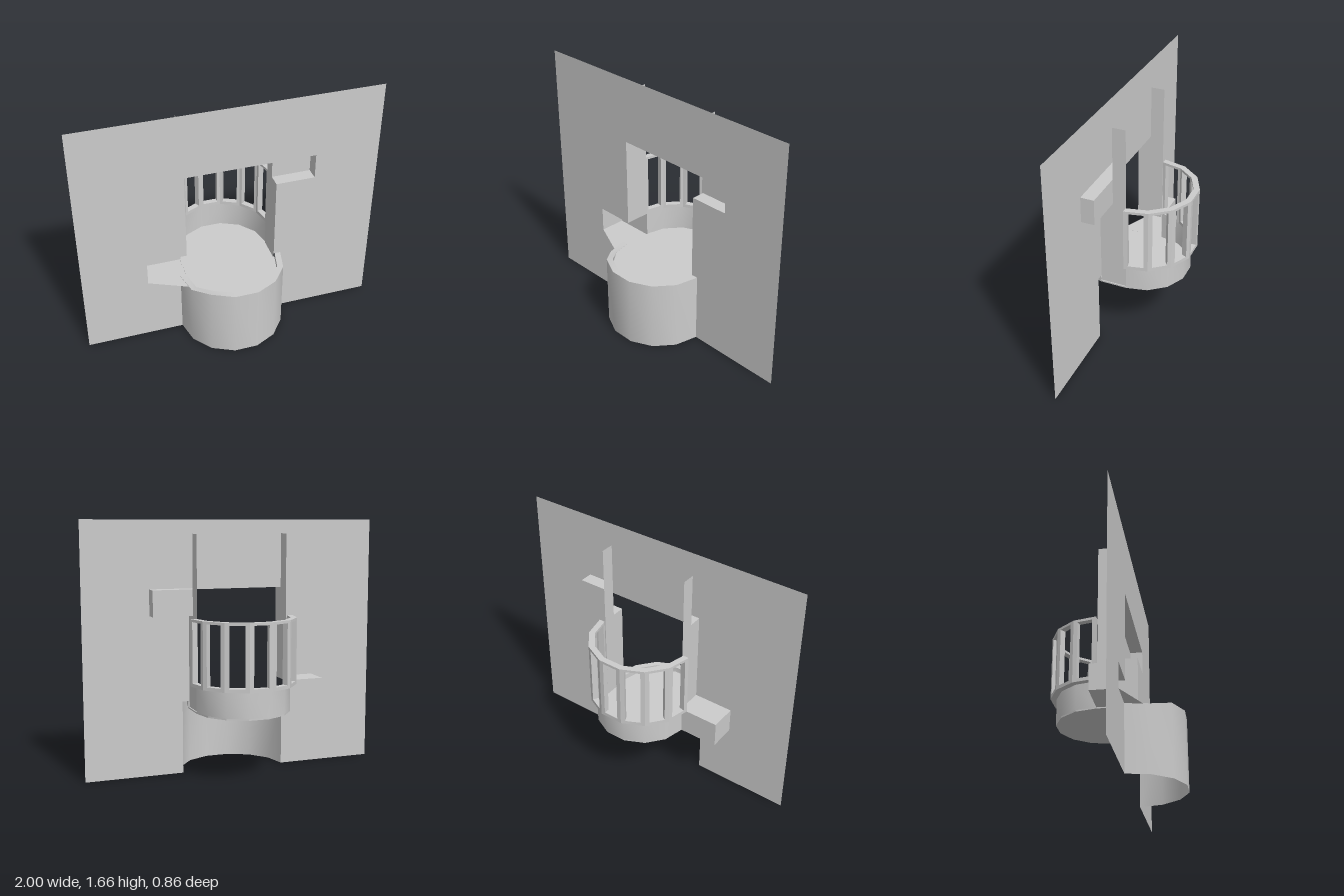
import * as THREE from 'three';
import { toCreasedNormals } from 'three/addons/utils/BufferGeometryUtils.js';

const material = new THREE.MeshStandardMaterial({ color: 0xcccccc, side: THREE.DoubleSide });
const W = 0.088;        // wall plane at z = W, rear of the doorway at z = -W
const D = 0.303;        // half width of the doorway
const R = 0.35, r = 0.31; // outer and inner radii of the balcony
const SIDES = 7;        // facets per half circle

export function createModel() {
  const group = new THREE.Group();
  group.name = 'balconyWall';

  const add = (name, geometry) => {
    const mesh = new THREE.Mesh(geometry, material);
    mesh.name = name;
    group.add(mesh);
    return mesh;
  };
  const polygon = pts => new THREE.Shape(pts.map(p => new THREE.Vector2(...p)));

  // Flat sheets, each square to one axis
  const sheetX = (name, x, y0, y1, z0, z1) => {
    const m = add(name, new THREE.PlaneGeometry(z1 - z0, y1 - y0).rotateY(Math.PI / 2));
    m.position.set(x, (y0 + y1) / 2, (z0 + z1) / 2);
  };
  const sheetY = (name, y, x0, x1, z0, z1) => {
    const m = add(name, new THREE.PlaneGeometry(x1 - x0, z1 - z0).rotateX(-Math.PI / 2));
    m.position.set((x0 + x1) / 2, y, (z0 + z1) / 2);
  };
  const sheetZ = (name, z, x0, x1, y0, y1) => {
    const m = add(name, new THREE.PlaneGeometry(x1 - x0, y1 - y0));
    m.position.set((x0 + x1) / 2, (y0 + y1) / 2, z);
  };

  // Wall in two panels, split at the seam, leaving the stepped doorway open
  const lower = [
    [[-1, 0], [-R, 0], [-R, 0.44], [-0.57, 0.44], [-0.57, 0.61], [-1, 0.61]],
    [[R, 0], [1, 0], [1, 0.61], [D, 0.61], [D, 0.48], [R, 0.48]],
  ];
  lower.forEach(p => add('lowerWall', new THREE.ShapeGeometry(polygon(p))).position.z = W);
  const upper = polygon([[-1, 0.61], [-D, 0.61], [-D, 1.22], [0.565, 1.22], [0.565, 1.05],
    [D, 1.05], [D, 0.61], [1, 0.61], [1, 1.66], [-1, 1.66]]);
  add('upperWall', new THREE.ShapeGeometry(upper)).position.z = W;

  // Doorway sides and the raised panel behind the lintel
  sheetX('leftJamb', D, 0.43, 1.05, -W, W);
  sheetX('rightJamb', -D, 0.61, 1.22, -W, W);
  sheetX('leftPost', D, 1.05, 1.57, -W, 0);
  sheetX('rightPost', -D, 1.22, 1.57, -W, 0);
  sheetZ('lintelPanel', 0, -D, D, 1.22, 1.57);
  sheetY('lintelSoffit', 1.22, -D, 0.565, 0, W);

  // Upper niche beside the doorway
  sheetZ('upperNicheBack', 0, D, 0.565, 1.05, 1.22);
  sheetY('upperNicheFloor', 1.05, D, 0.565, 0, W);
  sheetX('upperNicheEnd', 0.565, 1.05, 1.22, 0, W);

  // Lower niche, with a wedge of floor reaching the front drum
  sheetZ('lowerNicheBack', -W, -0.57, -D, 0.435, 0.61);
  sheetY('lowerNicheFloor', 0.44, -0.57, -D, -W, W);
  sheetY('lowerNicheTop', 0.61, -0.57, -D, -W, W);
  sheetX('lowerNicheEnd', -0.57, 0.44, 0.61, -W, W);
  const wedge = polygon([[-0.57, -W], [-r, -W], [-r, -0.2], [-0.325, -0.2]]);
  add('nicheFloorWedge', new THREE.ShapeGeometry(wedge).rotateX(-Math.PI / 2)).position.y = 0.44;

  // Floor slab: two half circles joined by a straight middle
  const outline = [];
  for (const side of [1, -1]) {
    for (let i = 0; i <= SIDES; i++) {
      const a = Math.PI * i / SIDES;
      outline.push([side * r * Math.cos(a), side * (W + r * Math.sin(a))]);
    }
  }
  const slab = new THREE.ExtrudeGeometry(polygon(outline), { depth: 0.01, bevelEnabled: false });
  add('floorSlab', slab.rotateX(-Math.PI / 2)).position.y = 0.432;

  // Half drums, turned from a profile
  const halfDrum = (name, profile, start, z, edit) => {
    const points = profile.map(p => new THREE.Vector2(...p));
    const geometry = new THREE.LatheGeometry(points, SIDES, start, Math.PI);
    if (edit) edit(geometry.attributes.position);
    add(name, toCreasedNormals(geometry, 0.6)).position.z = z;
  };
  // The front rim drops to floor level where it meets the lower niche
  halfDrum('frontDrum', [[R, 0], [R, 0.48], [r, 0.48], [r, 0.44]], -Math.PI / 2, W, p => {
    for (let i = 0; i < p.count; i++) {
      const radius = Math.hypot(p.getX(i), p.getZ(i));
      if (p.getY(i) > 0.45 && p.getX(i) < -0.8 * radius) p.setY(i, 0.443);
    }
  });
  halfDrum('rearDrum', [[r, 0.432], [r, 0.612]], Math.PI / 2, -W);

  // Railing: one framed opening per facet, mitred to its neighbours
  const half = Math.PI / SIDES / 2;
  const w = R * Math.sin(half), outer = R * Math.cos(half), inner = r * Math.cos(half);
  const frame = polygon([[-w, 0.612], [w, 0.612], [w, 1.042], [-w, 1.042]]);
  frame.holes.push(polygon([[-0.05, 0.635], [-0.05, 1.025], [0.05, 1.025], [0.05, 0.635]]));
  const facet = new THREE.ExtrudeGeometry(frame, { depth: outer - inner, bevelEnabled: false });
  facet.translate(0, 0, inner);
  const pos = facet.attributes.position;
  for (let i = 0; i < pos.count; i++) {
    if (Math.abs(pos.getX(i)) > 0.06) pos.setX(i, pos.getX(i) * pos.getZ(i) / outer);
  }
  facet.computeVertexNormals();
  for (let i = 0; i < SIDES; i++) {
    const mesh = add('railingFacet', facet);
    mesh.position.z = -W;
    mesh.rotation.y = Math.PI / 2 + (2 * i + 1) * half;
  }
  return group;
}
